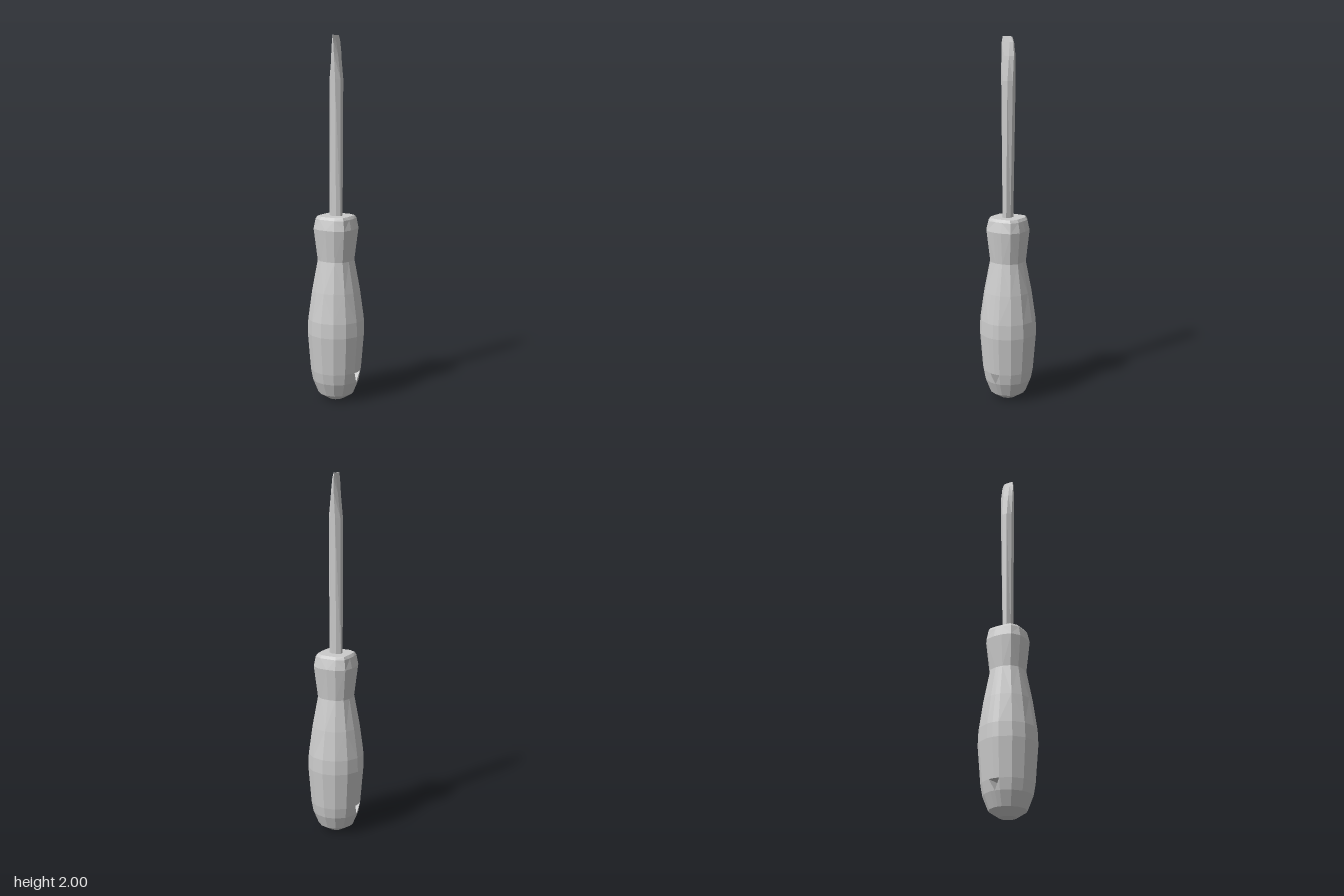
import * as THREE from 'three';

const material = new THREE.MeshStandardMaterial({ color: 0xcccccc, flatShading: true });

function meshFrom(name, triangles) {
  const geometry = new THREE.BufferGeometry().setFromPoints(triangles);
  geometry.computeVertexNormals();
  const mesh = new THREE.Mesh(geometry, material);
  mesh.name = name;
  return mesh;
}

// Triangles over stacked rings, with both ends capped.
// skip(ring, column, upperHalf) leaves a triangle open.
function loft(rings, mirroredDiagonal = () => false, skip = () => false) {
  const out = [];
  const n = rings[0].length;
  for (let i = 0; i < rings.length - 1; i++) {
    for (let j = 0; j < n; j++) {
      const k = (j + 1) % n;
      const a = rings[i][j], b = rings[i][k], c = rings[i + 1][k], d = rings[i + 1][j];
      const [upper, lower] = mirroredDiagonal(i, j) ? [[d, c, b], [a, d, b]] : [[a, d, c], [a, c, b]];
      if (!skip(i, j)) out.push(...upper);
      out.push(...lower);
    }
  }
  const first = rings[0], last = rings[rings.length - 1];
  const centre = ring => ring.reduce((s, p) => s.add(p), new THREE.Vector3()).divideScalar(n);
  const c0 = centre(first), c1 = centre(last);
  for (let j = 0; j < n; j++) {
    const k = (j + 1) % n;
    out.push(c0, first[j], first[k], c1, last[k], last[j]);
  }
  return out;
}

// Handle: round belly that turns into a rounded square at the collar,
// with a triangular hanging hole running through it along x.
function makeHandle() {
  // y, radius, squareness exponent (2 is round)
  const profile = [
    [0, 0.045, 2], [0.035, 0.1, 2], [0.11, 0.13, 2], [0.17, 0.141, 2],
    [0.38, 0.158, 2], [0.46, 0.155, 2], [0.62, 0.129, 2.2], [0.79, 0.094, 2.6],
    [0.965, 0.111, 3], [1.02, 0.096, 4], [1.035, 0.085, 5],
  ];
  // Columns: extra ones at +x and -x frame the hole.
  const edge = 0.215, steps = 6;
  const half = [0];
  for (let k = 0; k <= steps; k++) half.push(edge + (k * (Math.PI - 2 * edge)) / steps);
  const angles = [...half, ...half.map(t => t + Math.PI)];
  const rings = profile.map(([y, r, e]) => angles.map(t => {
    const c = Math.cos(t), s = Math.sin(t);
    const f = r / Math.pow(Math.abs(c) ** e + Math.abs(s) ** e, 1 / e);
    return new THREE.Vector3(c * f, y, s * f);
  }));

  const n = angles.length, mid = n / 2, low = 2;
  const beforeHole = j => j === n - 1 || j === mid - 1;
  const afterHole = j => j === 0 || j === mid;
  const shell = loft(rings,
    (i, j) => (i === low ? beforeHole(j) : (i + j) % 2 === 1),
    (i, j) => i === low && (beforeHole(j) || afterHole(j)));

  // Walls of the hole, joining the two openings.
  const lower = rings[low], upper = rings[low + 1];
  const A = [lower[0], upper[1], upper[0], upper[n - 1]];
  const B = [lower[mid], upper[mid - 1], upper[mid], upper[mid + 1]];
  const walls = [];
  for (let i = 0; i < 4; i++) {
    const k = (i + 1) % 4;
    walls.push(A[i], B[i], B[k], A[i], B[k], A[k]);
  }

  const handle = new THREE.Group();
  handle.name = 'handle';
  handle.add(meshFrom('handleShell', shell), meshFrom('hangingHole', walls));
  return handle;
}

// Shaft: eight-sided rod that flattens into a blade at the tip.
function makeShaft() {
  // y, half width in x, half depth in z, z offset
  const sections = [
    [1.0, 0.035, 0.025, 0], [1.77, 0.034, 0.036, -0.003], [1.9, 0.02, 0.039, -0.003],
    [1.97, 0.009, 0.036, 0], [2.0, 0.004, 0.029, 0.003],
  ];
  const k = Math.cos(Math.PI / 8);
  const rings = sections.map(([y, rx, rz, dz]) => Array.from({ length: 8 }, (_, j) => {
    const t = ((j + 0.5) * Math.PI) / 4;
    return new THREE.Vector3((rx * Math.cos(t)) / k, y, dz + (rz * Math.sin(t)) / k);
  }));
  return meshFrom('shaft', loft(rings));
}

export function createModel() {
  const model = new THREE.Group();
  model.name = 'screwdriver';
  model.add(makeHandle(), makeShaft());
  return model;
}
